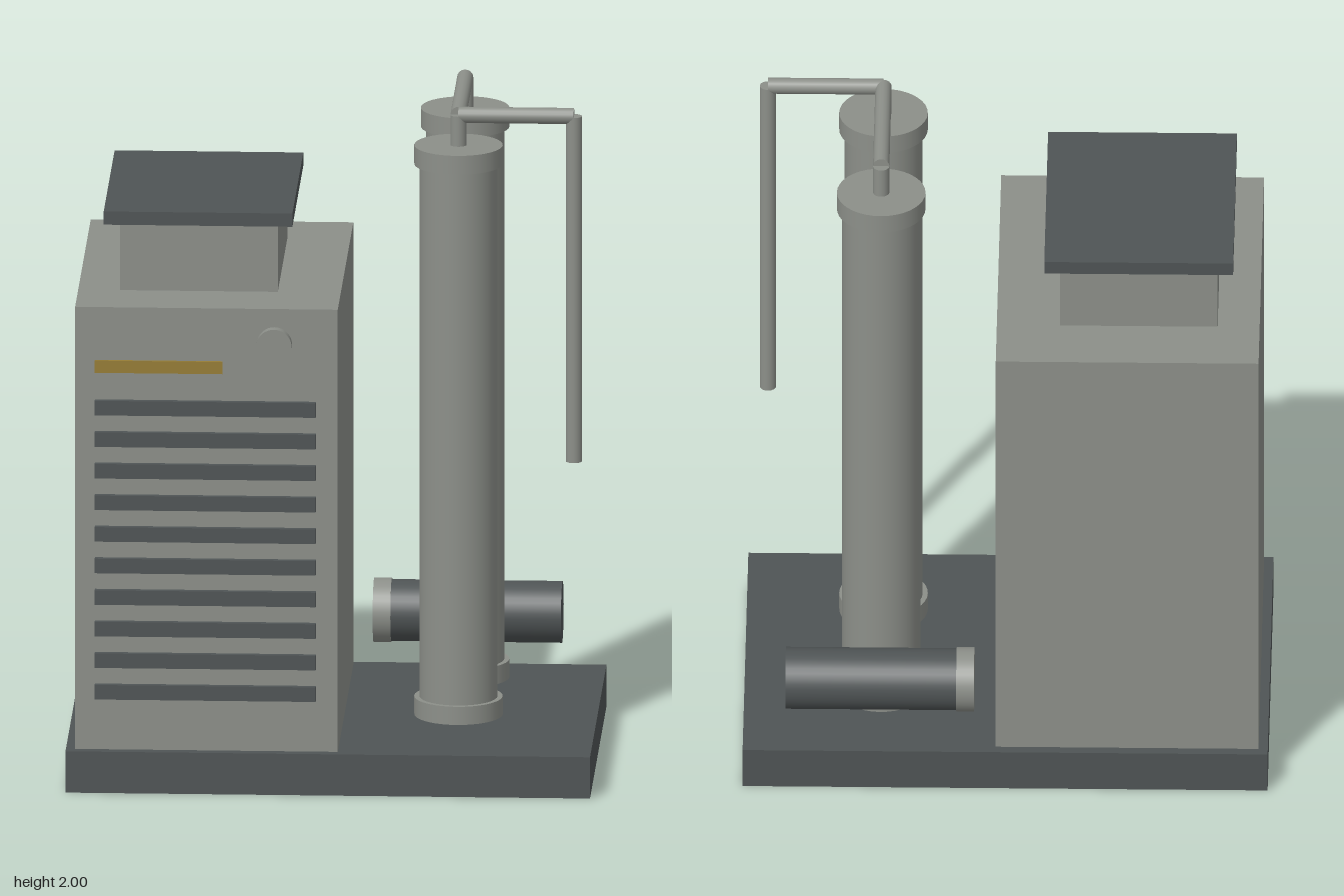
import * as THREE from 'three';

const material = (name, color) => {
  const m = new THREE.MeshStandardMaterial({ color });
  m.name = name;
  return m;
};

export function createModel() {
  const light = material('light grey metal', 0x8c8f89);
  const dark = material('dark grey metal', 0x4f5455);
  const yellow = material('yellow label', 0x967d35);
  const model = new THREE.Group();
  model.name = 'machineSkid';

  // Box given by its extents on each axis
  const box = (name, mat, [x0, x1], [y0, y1], [z0, z1], parent = model) => {
    const mesh = new THREE.Mesh(new THREE.BoxGeometry(x1 - x0, y1 - y0, z1 - z0), mat);
    mesh.position.set((x0 + x1) / 2, (y0 + y1) / 2, (z0 + z1) / 2);
    mesh.name = name;
    parent.add(mesh);
  };

  // Cylinder running between two points
  const rod = (name, mat, r, from, to, parent = model, sides = 36) => {
    const a = new THREE.Vector3(...from), b = new THREE.Vector3(...to);
    const dir = b.clone().sub(a);
    const mesh = new THREE.Mesh(new THREE.CylinderGeometry(r, r, dir.length(), sides), mat);
    mesh.position.copy(a).add(b).multiplyScalar(0.5);
    mesh.quaternion.setFromUnitVectors(new THREE.Vector3(0, 1, 0), dir.normalize());
    mesh.name = name;
    parent.add(mesh);
  };

  // Base slab
  box('base', dark, [-0.77, 0.77], [0, 0.125], [-0.538, 0.538]);

  // Cabinet with neck and roof plate
  const cabinet = new THREE.Group();
  cabinet.name = 'cabinet';
  model.add(cabinet);
  box('cabinetBody', light, [-0.743, 0.028], [0.125, 1.465], [-0.508, 0.508], cabinet);
  box('neck', light, [-0.62, -0.157], [1.465, 1.675], [-0.308, 0.308], cabinet);
  box('roofPlate', dark, [-0.666, -0.112], [1.675, 1.715], [-0.355, 0.355], cabinet);

  // Louvre slats, label strip and round gauge on the front
  for (let i = 0; i < 10; i++) {
    const y = 0.302 + i * 0.0957;
    box('slat', dark, [-0.685, -0.036], [y - 0.022, y + 0.022], [0.5, 0.526], cabinet);
  }
  box('labelStrip', yellow, [-0.685, -0.31], [1.268, 1.305], [0.508, 0.517], cabinet);
  rod('gauge', light, 0.052, [-0.158, 1.358, 0.5], [-0.158, 1.358, 0.538], cabinet);

  // Two columns with flanges and short risers
  const x = 0.368, zs = [0.185, -0.249], top = 1.976, pipeR = 0.024;
  for (const z of zs) {
    const column = new THREE.Group();
    column.name = 'column';
    model.add(column);
    rod('columnBody', light, 0.115, [x, 0.17, z], [x, 1.875, z], column);
    rod('bottomFlange', light, 0.13, [x, 0.16, z], [x, 0.215, z], column);
    rod('topFlange', light, 0.13, [x, 1.828, z], [x, 1.885, z], column);
    rod('riser', light, pipeR, [x, 1.88, z], [x, top, z], column, 16);
  }

  // Overhead pipe and drop pipe
  rod('crossPipe', light, pipeR, [x, top, zs[1]], [x, top, zs[0]], model, 16);
  rod('sidePipe', light, pipeR, [x, top, zs[0]], [0.707, top, zs[0]], model, 16);
  rod('dropPipe', light, pipeR, [0.707, top, zs[0]], [0.707, 0.93, zs[0]], model, 16);

  // Motor lying behind the columns
  rod('motor', dark, 0.091, [0.14, 0.311, -0.433], [0.645, 0.311, -0.433]);
  rod('motorCollar', light, 0.095, [0.092, 0.311, -0.433], [0.144, 0.311, -0.433]);

  return model;
}
